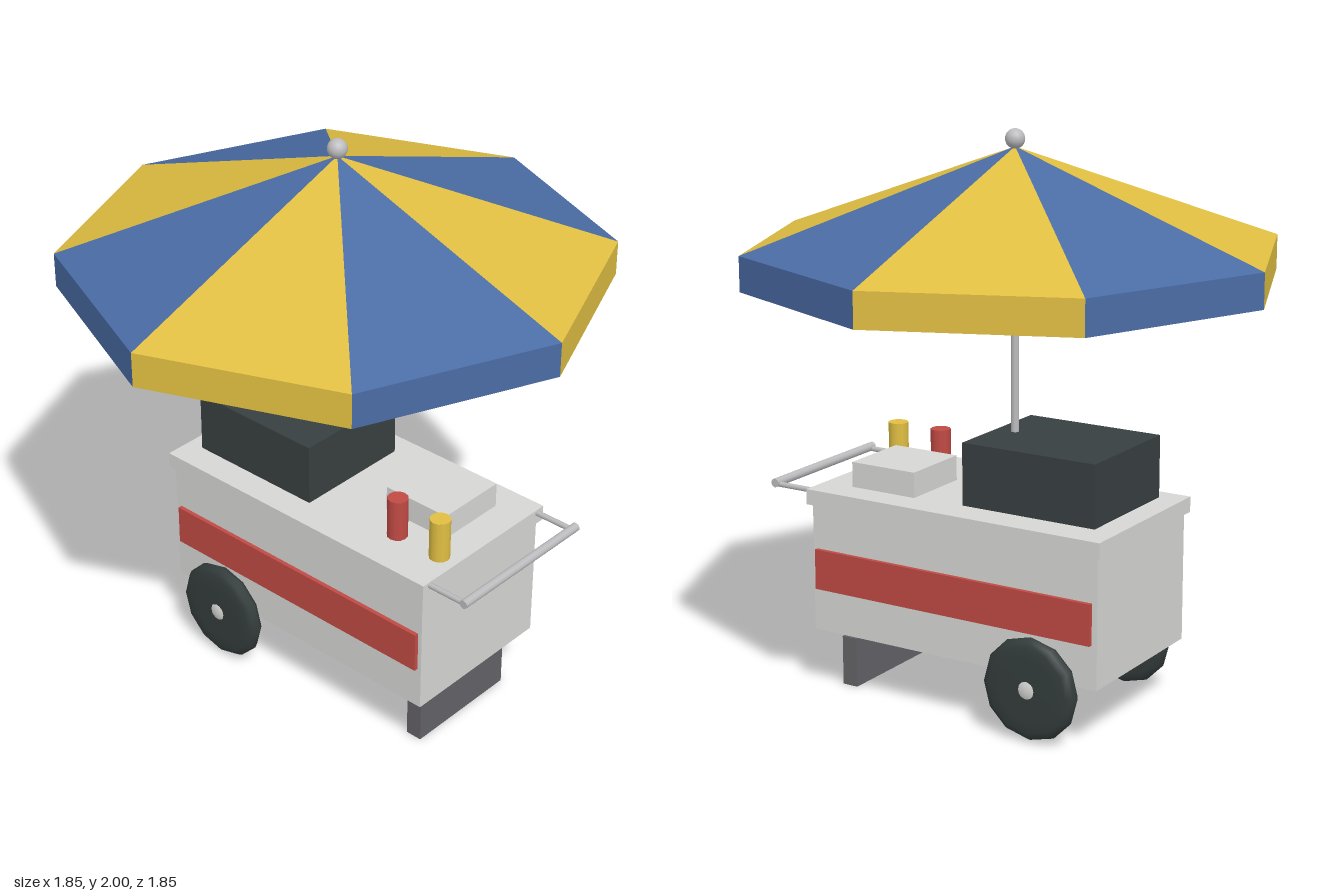
import * as THREE from 'three';

const mat = (name, color, side = THREE.FrontSide) => {
  const m = new THREE.MeshStandardMaterial({ color, side });
  m.name = name;
  return m;
};

export function createModel() {
  const group = new THREE.Group();
  const body = mat('off white', 0xd6d6d4);
  const steel = mat('steel', 0xbcbcbe);
  const red = mat('red', 0xc04a44);
  const charcoal = mat('charcoal', 0x383f40);
  const rubber = mat('rubber', 0x343c3c);
  const grey = mat('leg grey', 0x636166);
  const yellow = mat('yellow', 0xe0be42, THREE.DoubleSide);
  const blue = mat('blue', 0x4a6ca5, THREE.DoubleSide);

  const add = (name, geometry, material, x = 0, y = 0, z = 0) => {
    const mesh = new THREE.Mesh(geometry, material);
    mesh.name = name;
    mesh.position.set(x, y, z);
    group.add(mesh);
    return mesh;
  };
  // Box given by its limits on each axis
  const box = (name, material, [x0, x1], [y0, y1], [z0, z1]) =>
    add(name, new THREE.BoxGeometry(x1 - x0, y1 - y0, z1 - z0), material,
      (x0 + x1) / 2, (y0 + y1) / 2, (z0 + z1) / 2);

  // Cart body, counter and things standing on it
  box('cartBody', body, [-0.5, 0.645], [0.22, 0.68], [-0.297, 0.297]);
  box('counter', body, [-0.515, 0.66], [0.68, 0.735], [-0.313, 0.313]);
  box('grill', charcoal, [-0.443, 0.072], [0.745, 0.965], [-0.22, 0.22]);
  box('tray', body, [0.28, 0.54], [0.735, 0.825], [-0.205, 0.06]);
  box('supportLeg', grey, [0.525, 0.585], [0, 0.18], [-0.22, 0.22]);
  const bottle = new THREE.CylinderGeometry(0.036, 0.036, 0.15, 12);
  add('redBottle', bottle, red, 0.407, 0.81, 0.15);
  add('yellowBottle', bottle, yellow, 0.59, 0.81, 0.15);

  // Tyre cross-section, turned around the axle
  const tyreProfile = [
    [0, -0.03], [0.11, -0.03], [0.15, -0.027], [0.172, -0.018], [0.182, 0],
    [0.172, 0.018], [0.15, 0.027], [0.11, 0.03], [0, 0.03],
  ].map(([r, h]) => new THREE.Vector2(r, h));
  const tyre = new THREE.LatheGeometry(tyreProfile, 12).rotateX(Math.PI / 2);
  const hub = new THREE.SphereGeometry(0.058, 16, 12).scale(1, 1, 0.62);
  const rod = new THREE.CylinderGeometry(0.01, 0.01, 0.17, 8).rotateZ(Math.PI / 2);

  // Side panels, wheels and handle rods on both sides
  for (const s of [1, -1]) {
    add('sidePanel', new THREE.BoxGeometry(1.11, 0.145, 0.016), red, 0.075, 0.4475, s * 0.304);
    add('tyre', tyre, rubber, -0.26, 0.187, s * 0.32);
    add('hub', hub, body, -0.26, 0.19, s * 0.32);
    add('handleRod', rod, steel, 0.73, 0.723, s * 0.28);
  }
  add('handleBar', new THREE.CylinderGeometry(0.016, 0.016, 0.59, 10).rotateX(Math.PI / 2),
    steel, 0.812, 0.729, 0);

  // Umbrella pole and finial
  add('pole', new THREE.CylinderGeometry(0.014, 0.014, 1.2, 10), steel, 0, 1.335, 0);
  add('finial', new THREE.SphereGeometry(0.034, 16, 12), steel, 0, 1.966, 0);

  // Eight canopy panels, each with a hanging valance
  const R = 0.924, apex = 1.94, rim = 1.61, hem = 1.49;
  for (let k = 0; k < 8; k++) {
    const corner = (i, y) => [R * Math.cos(i * Math.PI / 4), y, R * Math.sin(i * Math.PI / 4)];
    const a = corner(k, rim), b = corner(k + 1, rim);
    const c = corner(k, hem), d = corner(k + 1, hem);
    const panel = new THREE.BufferGeometry();
    const points = [[0, apex, 0], b, a, a, b, d, a, d, c].flat();
    panel.setAttribute('position', new THREE.Float32BufferAttribute(points, 3));
    panel.computeVertexNormals();
    add('canopyPanel', panel, k % 2 ? yellow : blue);
  }
  return group;
}
